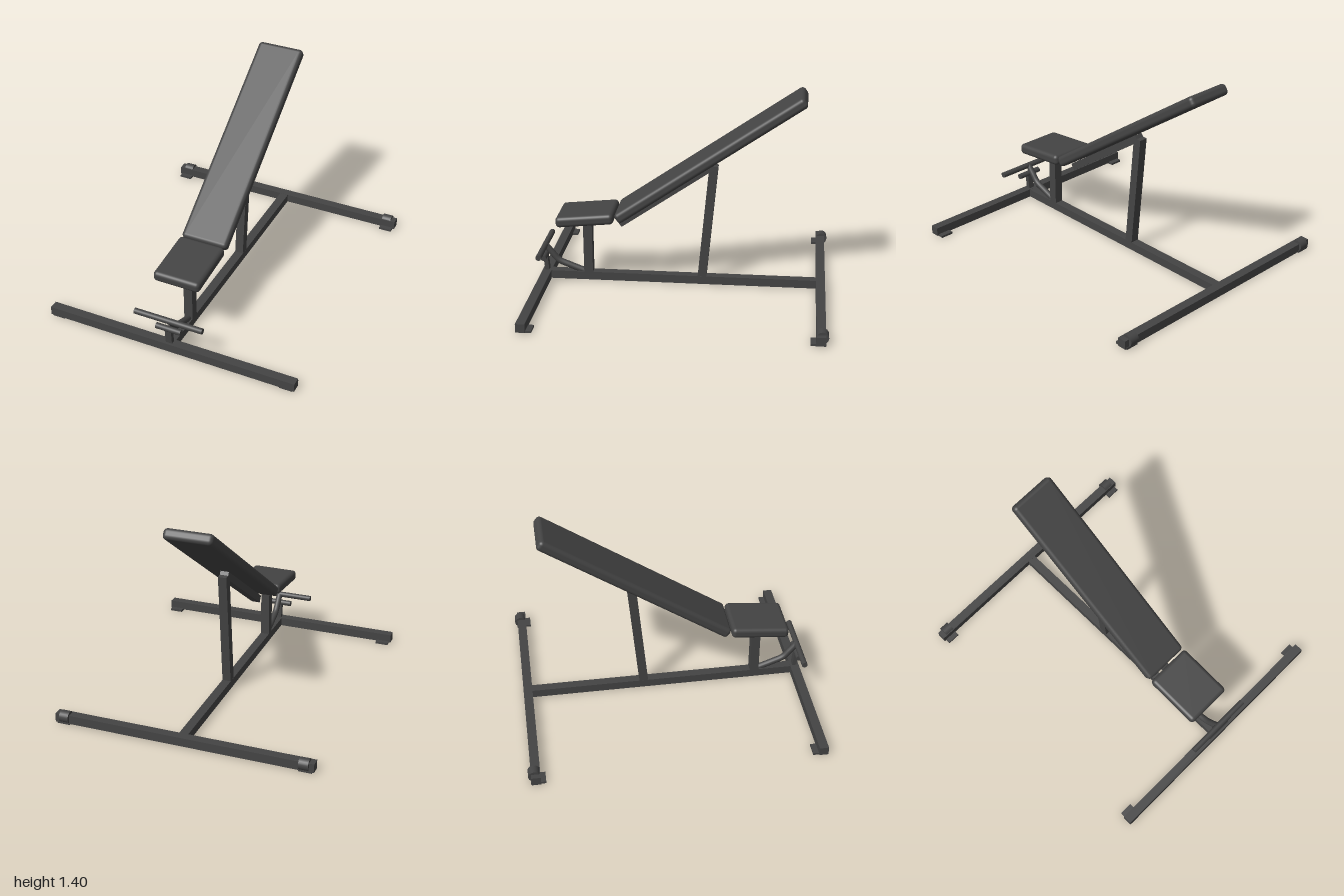
import * as THREE from 'three';
import { RoundedBoxGeometry } from 'three/addons/geometries/RoundedBoxGeometry.js';

export function createModel() {
  const model = new THREE.Group();
  model.name = 'inclineBench';
  const charcoal = new THREE.MeshStandardMaterial({ color: 0x444444 });
  charcoal.name = 'charcoal';

  const add = (name, geometry, x, y, z, tilt = 0) => {
    const mesh = new THREE.Mesh(geometry, charcoal);
    mesh.name = name;
    mesh.position.set(x, y, z);
    mesh.rotation.x = tilt;
    model.add(mesh);
    return mesh;
  };

  // Square tube in the centre plane, between two [z, y] points
  const beam = (name, [z1, y1], [z2, y2], width, depth) => {
    const length = Math.hypot(z2 - z1, y2 - y1);
    add(name, new THREE.BoxGeometry(width, depth, length),
      0, (y1 + y2) / 2, (z1 + z2) / 2, Math.atan2(y1 - y2, z2 - z1));
  };

  // Round bar lying along x
  const bar = (name, length, radius, x, y, z) => {
    const geometry = new THREE.CylinderGeometry(radius, radius, length, 24);
    geometry.rotateZ(Math.PI / 2);
    add(name, geometry, x, y, z);
  };

  // Base: spine with a cross beam at each end
  add('baseSpine', new THREE.BoxGeometry(0.062, 0.058, 1.9), 0, 0.036, 0);
  add('frontCrossBeam', new THREE.BoxGeometry(1.78, 0.06, 0.062), 0, 0.036, 0.967);
  add('rearCrossBeam', new THREE.BoxGeometry(1.78, 0.06, 0.062), 0, 0.036, -0.95);

  // Foot plates and transport wheels
  for (const side of [-1, 1]) {
    add('frontFoot', new THREE.BoxGeometry(0.09, 0.015, 0.1), side * 0.832, 0.0075, 0.948);
    add('rearFoot', new THREE.BoxGeometry(0.09, 0.015, 0.1), side * 0.832, 0.0075, -0.935);
    bar('wheel', 0.065, 0.04, side * 0.823, 0.046, -0.96);
  }

  // Uprights and the rail beneath the backrest
  beam('seatPost', [0.67, 0.05], [0.67, 0.455], 0.062, 0.062);
  beam('rearPost', [-0.127, 0.05], [-0.205, 0.875], 0.06, 0.06);
  beam('backrestRail', [0.445, 0.434], [-0.2, 0.877], 0.06, 0.05);

  // Padding
  add('seatPad', new RoundedBoxGeometry(0.33, 0.075, 0.4, 4, 0.027), 0, 0.494, 0.67, 0.1);
  add('backrestPad', new RoundedBoxGeometry(0.33, 0.075, 1.53, 4, 0.027), 0, 0.943, -0.18, 0.603);

  // Leg hold: bent arm, short upright and two cross bars
  const path = new THREE.CatmullRomCurve3([
    [0.055, 0.68], [0.1, 0.8], [0.138, 0.885], [0.19, 0.93], [0.247, 0.977],
  ].map(([y, z]) => new THREE.Vector3(0, y, z)));
  add('legHoldArm', new THREE.TubeGeometry(path, 24, 0.022, 16), 0, 0, 0);
  beam('legHoldUpright', [0.965, 0.05], [0.977, 0.18], 0.045, 0.03);
  bar('upperFootBar', 0.49, 0.02, 0, 0.247, 0.977);
  bar('lowerFootBar', 0.18, 0.02, 0, 0.18, 0.977);

  return model;
}
